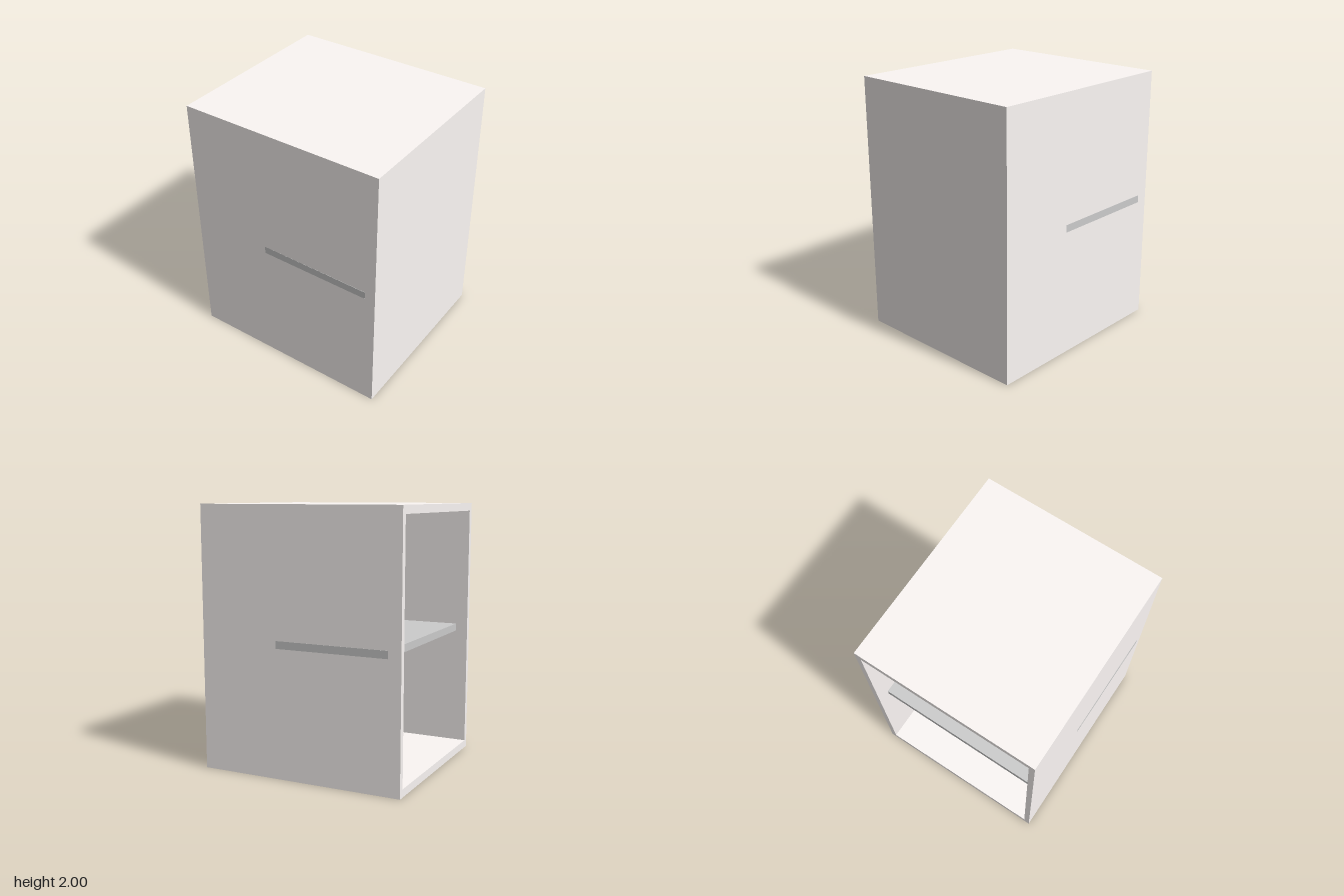
import * as THREE from 'three';

const WIDTH = 1.6, HEIGHT = 2, DEPTH = 1.428;
const TOP_T = 0.06, SIDE_T = 0.046, END_T = 0.048;

export function createModel() {
  const group = new THREE.Group();
  const bodyMaterial = new THREE.MeshStandardMaterial({ color: 0xfcf7f5 });
  const shelfMaterial = new THREE.MeshStandardMaterial({ color: 0xcccccc });

  // Rectangular frame: top, bottom, front and back boards, open at -x
  const w = DEPTH / 2, iw = w - SIDE_T;
  const frame = new THREE.Shape([
    new THREE.Vector2(-w, 0), new THREE.Vector2(w, 0),
    new THREE.Vector2(w, HEIGHT), new THREE.Vector2(-w, HEIGHT),
  ]);
  frame.holes.push(new THREE.Path([
    new THREE.Vector2(-iw, TOP_T), new THREE.Vector2(-iw, HEIGHT - TOP_T),
    new THREE.Vector2(iw, HEIGHT - TOP_T), new THREE.Vector2(iw, TOP_T),
  ]));
  const shellGeometry = new THREE.ExtrudeGeometry(frame, { depth: WIDTH, bevelEnabled: false });
  shellGeometry.translate(0, 0, -WIDTH / 2).rotateY(Math.PI / 2);
  const shell = new THREE.Mesh(shellGeometry, bodyMaterial);
  shell.name = 'cabinetShell';
  group.add(shell);

  // Panel closing the +x end, set inside the frame
  const panel = new THREE.Mesh(
    new THREE.BoxGeometry(END_T, HEIGHT - 2 * TOP_T, 2 * iw), bodyMaterial);
  panel.name = 'endPanel';
  panel.position.set(WIDTH / 2 - END_T / 2, HEIGHT / 2, 0);
  group.add(panel);

  // Middle shelf, set back from the opening; a hair's turn lets its long edges
  // surface through part of the front and back boards
  const shelf = new THREE.Mesh(
    new THREE.BoxGeometry(1.425, 0.057, DEPTH + 0.001), shelfMaterial);
  shelf.name = 'shelf';
  shelf.position.set(0.008, HEIGHT / 2 + 0.001, 0);
  shelf.rotation.y = -0.003;
  group.add(shelf);

  return group;
}
